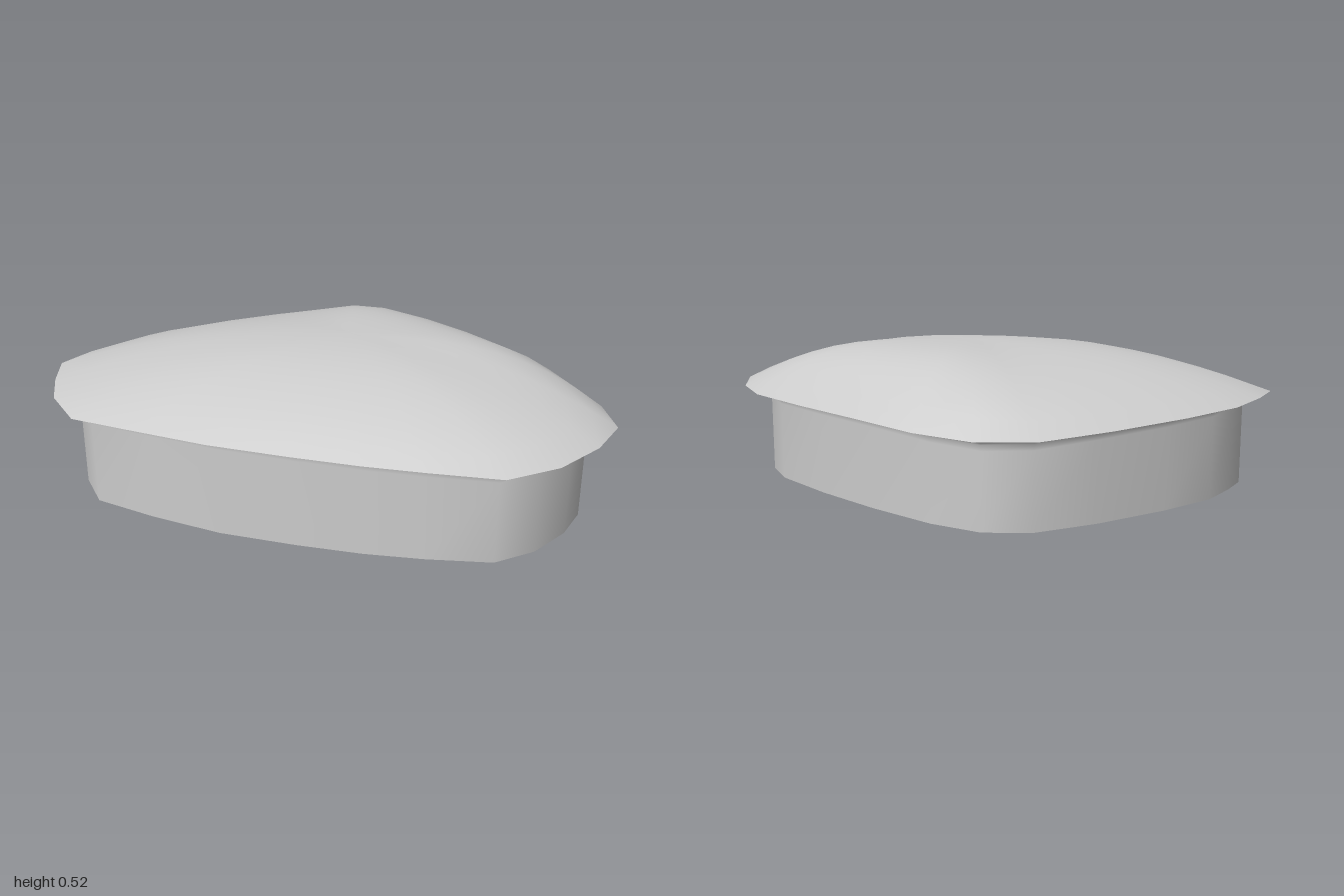
import * as THREE from 'three';

// Cap edge seen from above: x, height, z, running from back over +x to front and -x
const RIM = [
  [-0.2, 0.308, -0.69], [0, 0.305, -0.7], [0.2, 0.313, -0.62], [0.43, 0.325, -0.46],
  [0.65, 0.328, -0.28], [0.86, 0.328, -0.08], [0.96, 0.33, 0.09], [1, 0.335, 0.27],
  [0.93, 0.337, 0.44], [0.81, 0.333, 0.59], [0.65, 0.325, 0.682], [0.42, 0.334, 0.695],
  [0.22, 0.34, 0.697], [0, 0.345, 0.684], [-0.27, 0.349, 0.655], [-0.53, 0.346, 0.59],
  [-0.77, 0.336, 0.515], [-0.9, 0.337, 0.36], [-0.96, 0.341, 0.21], [-1, 0.344, 0.06],
  [-0.94, 0.343, -0.08], [-0.84, 0.338, -0.24], [-0.66, 0.33, -0.4], [-0.42, 0.32, -0.575],
].map((p) => new THREE.Vector3(...p));
const N = RIM.length;
const PEAK = new THREE.Vector3(0.08, 0.525, 0.04);

// Outward horizontal direction at each edge point
const OUT = RIM.map((_, i) => {
  const t = RIM[(i + 1) % N].clone().sub(RIM[(i + N - 1) % N]);
  return new THREE.Vector3(t.z, 0, -t.x).normalize();
});

// Fullness of the dome towards each edge point: greatest at the back left
const FULL = OUT.map((n) => 2.15 + 1.6 * Math.max(0, 0.68 * n.x - 0.73 * n.z) ** 3 + 0.25 * Math.max(0, n.z));

// Closed ring inset from the cap edge, with its height given by a rule
const insetRing = (scale, height) => RIM.map((p, i) => {
  const d = (0.067 + 0.03 * Math.abs(OUT[i].x) - 0.007 * OUT[i].z) * scale;
  const q = p.clone().addScaledVector(OUT[i], -d);
  q.y = height(p.y);
  return q;
});

// Rings of a dome rising from an edge ring to a peak
const domeRings = (edge, peak) => Array.from({ length: 11 }, (_, k) => {
  const t = 1 - k / 10;
  return edge.map((p, i) => {
    const q = peak.clone().lerp(p, t);
    q.y = p.y + (peak.y - p.y) * (1 - t ** FULL[i]);
    return q;
  });
});

// Skin joining rings of equal point count
function loft(rings) {
  const pos = rings.flat().flatMap((p) => [p.x, p.y, p.z]);
  const idx = [];
  for (let r = 0; r < rings.length - 1; r++) {
    for (let i = 0; i < N; i++) {
      const j = (i + 1) % N;
      const a = r * N + i, b = r * N + j, c = a + N, d = b + N;
      idx.push(a, c, b, b, c, d);
    }
  }
  const g = new THREE.BufferGeometry();
  g.setAttribute('position', new THREE.Float32BufferAttribute(pos, 3));
  g.setIndex(idx);
  g.computeVertexNormals();
  return g;
}

export function createModel() {
  const model = new THREE.Group();
  const material = new THREE.MeshStandardMaterial({ color: 0xcccccc, side: THREE.DoubleSide });
  const add = (name, rings) => {
    const mesh = new THREE.Mesh(loft(rings), material);
    mesh.name = name;
    model.add(mesh);
  };

  // Thin open wall with a small flare under the cap
  const wallTop = insetRing(0.88, (y) => y - 0.016);
  add('wall', [
    insetRing(1, () => 0),
    insetRing(1, (y) => y - 0.045),
    insetRing(0.97, (y) => y - 0.025),
    wallTop,
  ]);

  // Overhanging underside, running out to a sharp edge
  add('capUnderside', [wallTop, RIM]);

  // Domed top, falling from the peak to the edge
  add('dome', domeRings(RIM, PEAK));

  // Hollow ceiling inside the wall, following the dome
  const innerPeak = PEAK.clone().setY(PEAK.y - 0.02);
  add('ceiling', domeRings(wallTop, innerPeak).reverse());

  return model;
}
